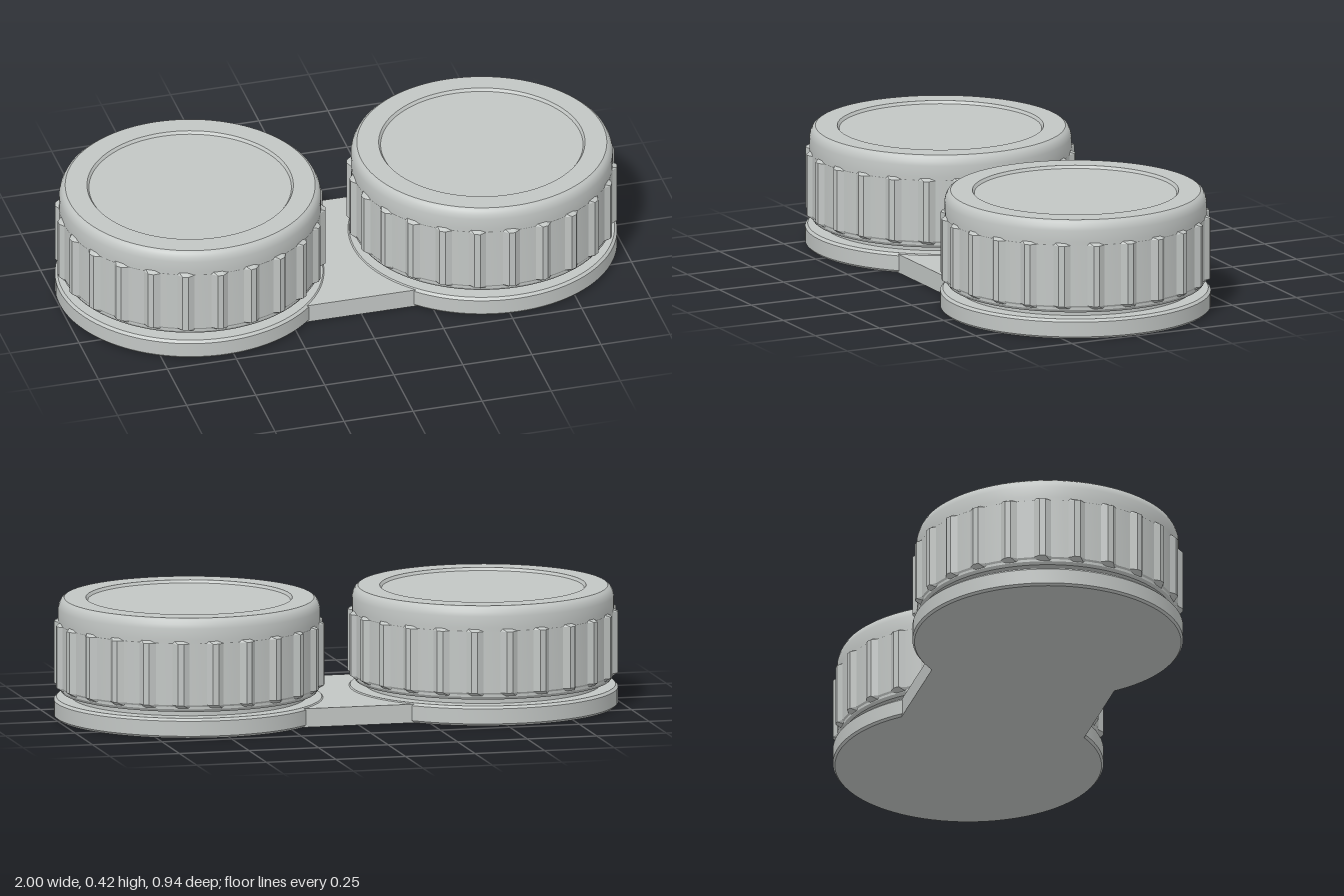
import * as THREE from 'three';
import { toCreasedNormals } from 'three/addons/utils/BufferGeometryUtils.js';

const CENTER = 0.528, RADIUS = 0.472;
const plastic = new THREE.MeshStandardMaterial({ color: 0xc2c6c4 });
plastic.name = 'grey plastic';

function part(name, geometry, crease = 0.5) {
  const mesh = new THREE.Mesh(toCreasedNormals(geometry, crease), plastic);
  mesh.name = name;
  return mesh;
}

function turned(name, profile, segments = 96) {
  const points = profile.map(([r, y]) => new THREE.Vector2(r, y));
  return part(name, new THREE.LatheGeometry(points, segments));
}

// Grip sleeve: raised ridges between shallow scallops, chamfered at both ends
function gripRing() {
  const ribs = 24, steps = 6;
  const points = [[0.448, 0.1], [RADIUS, 0.115], [RADIUS, 0.332], [0.448, 0.345]]
    .map(([r, y]) => new THREE.Vector2(r, y));
  const geometry = new THREE.LatheGeometry(points, ribs * steps);
  const pos = geometry.attributes.position;
  for (let i = 0; i < pos.count; i++) {
    const column = Math.floor(i / points.length) % steps;
    const row = i % points.length;
    const isRidge = column === 2 || column === 3;
    if ((row === 1 || row === 2) && !isRidge) {
      const k = 0.457 / RADIUS;
      pos.setX(i, pos.getX(i) * k);
      pos.setZ(i, pos.getZ(i) * k);
    }
  }
  // Centre a scallop on each axis
  geometry.rotateY((3.5 / steps) * (Math.PI * 2 / ribs) - Math.PI / ribs * 1 + Math.PI / ribs / steps * 4);
  return part('gripRing', geometry, 0.15);
}

function createWell(side) {
  const well = new THREE.Group();
  well.name = side > 0 ? 'leftWell' : 'rightWell';
  well.position.x = side * CENTER;
  well.add(
    // Bevelled foot
    turned('baseDisc', [[0, 0], [0.465, 0], [RADIUS, 0.008], [RADIUS, 0.061], [0.463, 0.07], [0, 0.07]]),
    // Narrow neck between foot and cap
    turned('neck', [[0.41, 0.065], [0.41, 0.095]]),
    // Screw cap with rounded shoulder and recessed lid
    turned('cap', [
      [0, 0.09], [0.446, 0.09], [0.453, 0.1], [0.457, 0.345], [0.457, 0.385], [0.453, 0.4],
      [0.446, 0.413], [0.436, 0.42], [0.36, 0.42], [0.353, 0.41], [0, 0.41],
    ]),
    gripRing(),
  );
  return well;
}

export function createModel() {
  const model = new THREE.Group();
  model.name = 'lensCase';
  model.add(createWell(1), createWell(-1));

  // Flat web joining the two feet
  const bridge = part('bridge', new THREE.BoxGeometry(0.56, 0.066, 0.66));
  bridge.position.y = 0.033;
  model.add(bridge);
  return model;
}
